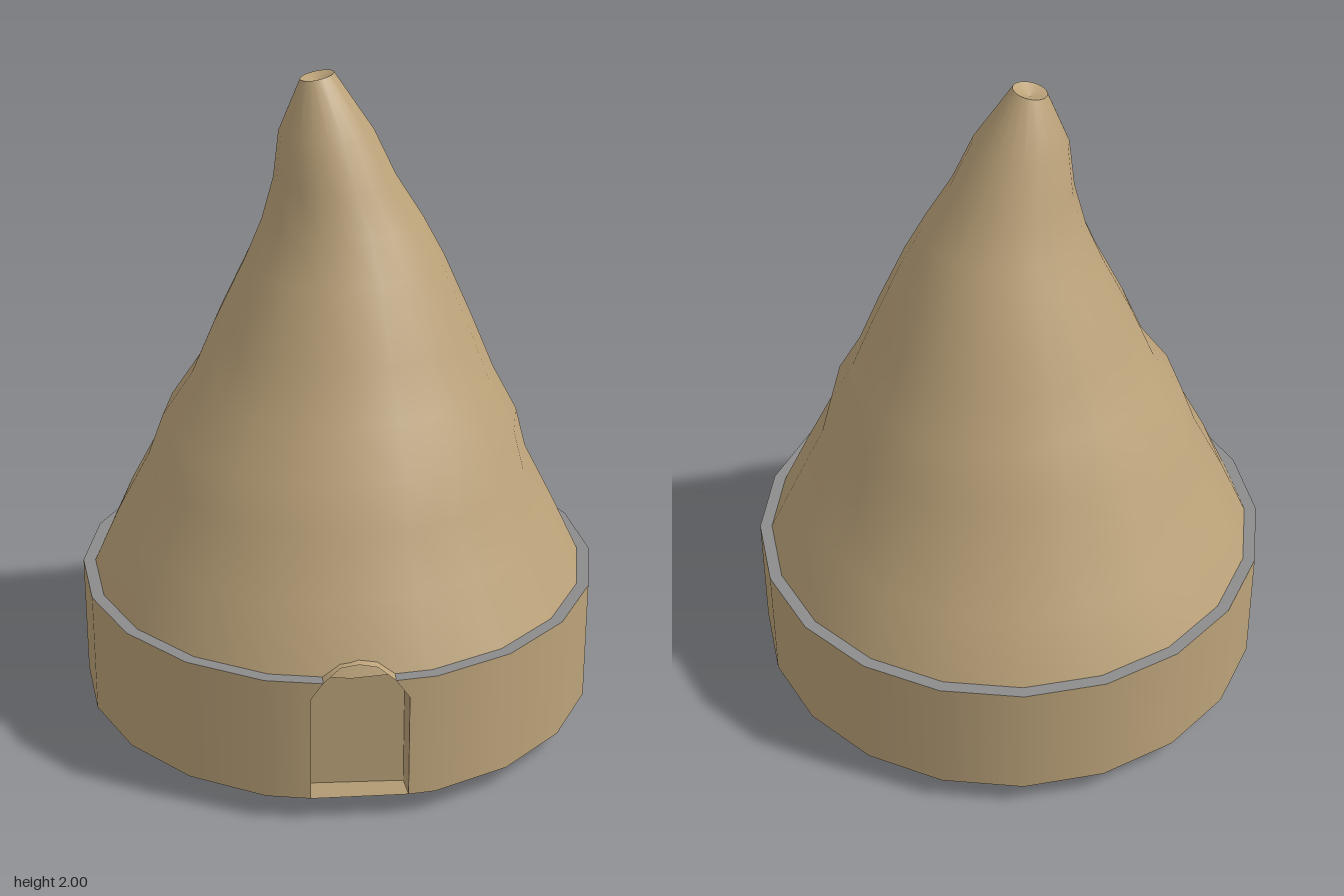
import * as THREE from 'three';
import { toCreasedNormals } from 'three/addons/utils/BufferGeometryUtils.js';

const SIDES = 20, WALL_R = 0.787, ROOF_R = 0.75, WALL_TOP = 0.455, WALL_BOTTOM = 0.073;
const STEP = (Math.PI * 2) / SIDES;

// Surface through rows of [x, y, z] points, each row the same length
function loft(rows, closed) {
  const n = rows[0].length, index = [];
  for (let i = 0; i < rows.length - 1; i++) {
    for (let j = 0; j < (closed ? n : n - 1); j++) {
      const k = (j + 1) % n;
      const a = i * n + j, b = i * n + k, c = a + n, d = b + n;
      index.push(a, b, c, b, d, c);
    }
  }
  const g = new THREE.BufferGeometry();
  g.setAttribute('position', new THREE.Float32BufferAttribute(rows.flat(2), 3));
  g.setIndex(index);
  g.computeVertexNormals();
  return g;
}

// Horizontal ring of points, counterclockwise from the front
const ring = (y, cx, cz, r, tilt = 0) => Array.from({ length: SIDES }, (_, j) => {
  const s = Math.sin(j * STEP), c = Math.cos(j * STEP);
  return [cx + r * s, y + tilt * s, cz + r * c];
});

// Depth of the two front wall facets at a given x
const wallZ = (x) => WALL_R - Math.abs(x) * Math.tan(STEP / 2);

export function createModel() {
  const group = new THREE.Group();
  const clay = new THREE.MeshStandardMaterial({ name: 'clay', color: 0xbca37a, side: THREE.DoubleSide });
  const stone = new THREE.MeshStandardMaterial({ name: 'greyLedge', color: 0x8c8c8c, side: THREE.DoubleSide });
  const add = (name, geometry, material = clay) => {
    const mesh = new THREE.Mesh(geometry, material);
    mesh.name = name;
    group.add(mesh);
  };

  // Wavy, slightly bent conical roof: y, centre x, centre z, radius
  const sections = [
    [0.455, 0, 0, 0.75], [0.64, -0.002, 0.003, 0.665], [0.82, 0, 0.012, 0.573],
    [0.945, 0.007, 0.01, 0.534], [1.08, 0.017, 0.002, 0.452], [1.245, 0.018, 0.004, 0.383],
    [1.44, 0.022, 0, 0.293], [1.56, 0.015, 0.001, 0.236], [1.69, -0.008, 0.01, 0.178],
    [1.83, -0.033, 0.018, 0.137], [1.99, -0.059, 0.023, 0.049, 0.01],
  ];
  const roofRows = sections.map((s) => ring(...s));
  add('roof', loft(roofRows, true));

  // Shallow dip at the tip
  const rim = roofRows[roofRows.length - 1];
  add('tipHollow', loft([rim, rim.map(() => [-0.059, 1.972, 0.023])], true));

  // Round wall, open at the two front facets
  const wall = new THREE.CylinderGeometry(WALL_R, WALL_R, WALL_TOP - WALL_BOTTOM,
    SIDES - 2, 1, true, STEP, Math.PI * 2 - 2 * STEP);
  wall.translate(0, (WALL_TOP + WALL_BOTTOM) / 2, 0);
  add('wall', wall);

  // Front wall panels beside the arched doorway
  const edge = WALL_R * Math.sin(STEP);
  const panels = {
    wallPanelRight: [[-edge, WALL_BOTTOM], [-0.115, WALL_BOTTOM], [-0.115, 0.4], [-0.08, WALL_TOP], [-edge, WALL_TOP]],
    wallPanelLeft: [[0.165, WALL_BOTTOM], [edge, WALL_BOTTOM], [edge, WALL_TOP], [0.125, WALL_TOP], [0.165, 0.395]],
  };
  for (const [name, pts] of Object.entries(panels)) {
    const g = new THREE.ShapeGeometry(new THREE.Shape(pts.map((p) => new THREE.Vector2(...p))));
    const pos = g.attributes.position;
    for (let i = 0; i < pos.count; i++) {
      const x = pos.getX(i), z = wallZ(x), len = Math.hypot(x, z);
      pos.setZ(i, z);
      g.attributes.normal.setXYZ(i, x / len, 0, z / len);
    }
    add(name, g);
  }

  // Grey ledge between wall and roof, interrupted at the doorway
  const outer = [[0.125, WALL_TOP, wallZ(0.125)]];
  for (let j = 1; j < SIDES; j++) {
    outer.push([WALL_R * Math.sin(j * STEP), WALL_TOP, WALL_R * Math.cos(j * STEP)]);
  }
  outer.push([-0.08, WALL_TOP, wallZ(-0.08)]);
  const k = ROOF_R / WALL_R;
  add('ledge', loft([outer, outer.map(([x, y, z]) => [x * k, y, z * k])], false), stone);

  // Recessed doorway: arched sides and a floor sloping down to the back
  const arch = [[0.165, WALL_BOTTOM], [0.165, 0.395], [0.125, 0.455], [0.075, 0.49], [0.022, 0.5],
    [-0.03, 0.49], [-0.08, 0.455], [-0.115, 0.4], [-0.115, WALL_BOTTOM]];
  const backZ = 0.58;
  const front = arch.map(([x, y]) => [x, y, y > WALL_TOP ? 0.752 : wallZ(x)]);
  const back = arch.map(([x, y]) => [x, y === WALL_BOTTOM ? 0 : y, backZ]);
  add('doorway', toCreasedNormals(loft([front, back], true), 0.8));

  const door = new THREE.ShapeGeometry(new THREE.Shape(back.map(([x, y]) => new THREE.Vector2(x, y))));
  door.translate(0, 0, backZ);
  add('door', door);

  return group;
}
